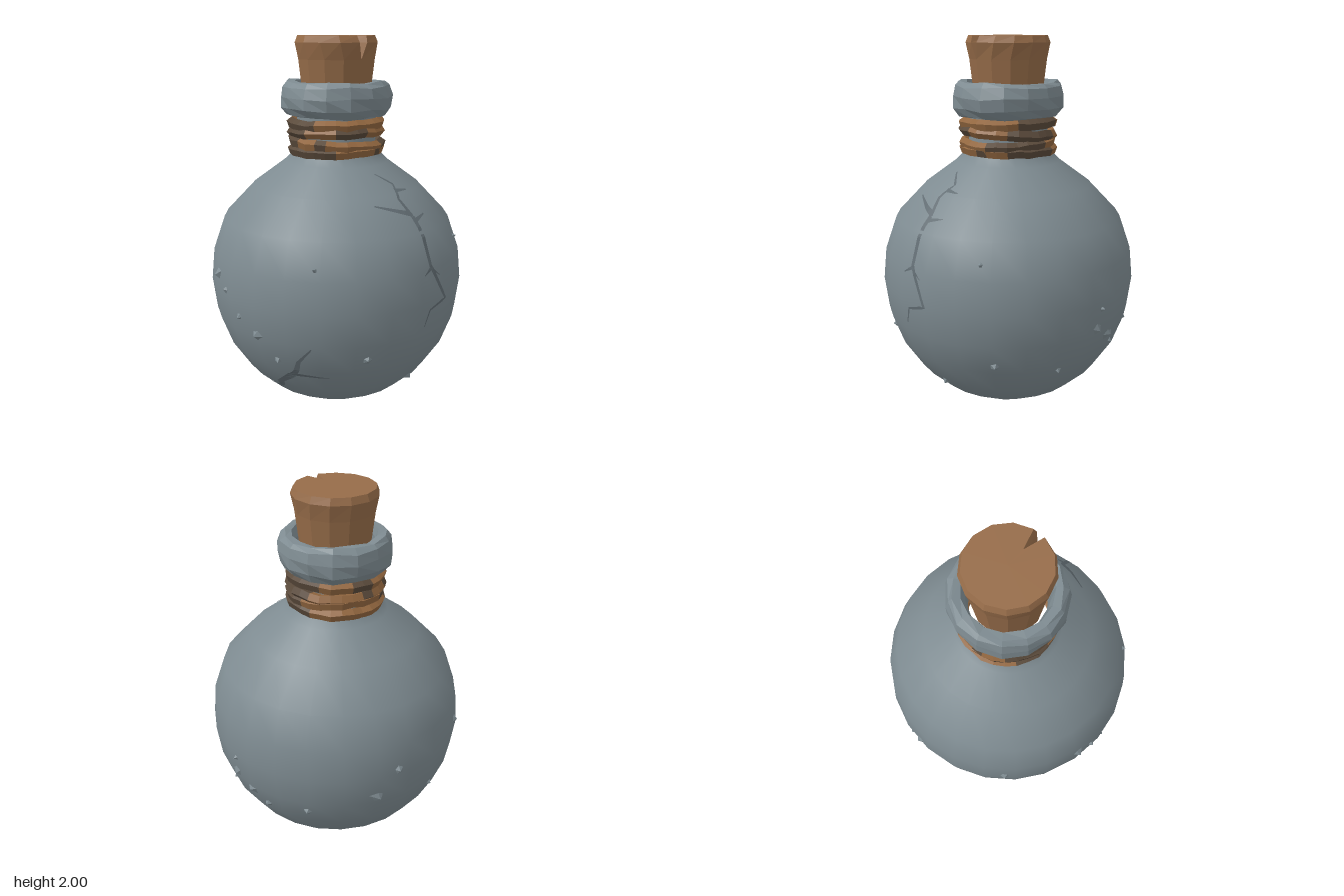
import * as THREE from 'three';

const V = (x, y, z) => new THREE.Vector3(x, y, z);

function seeded(seed) {
  return () => {
    seed = (seed * 16807) % 2147483647;
    return seed / 2147483647;
  };
}

// Faceted copy of a geometry: every triangle gets its own normal.
function faceted(geometry) {
  const g = geometry.index ? geometry.toNonIndexed() : geometry;
  g.computeVertexNormals();
  return g;
}

function lathe(points, sides) {
  return new THREE.LatheGeometry(points.map(([r, y]) => new THREE.Vector2(r, y)), sides);
}

// Cork: stacked rings with a V-shaped notch that opens toward the front.
function corkGeometry() {
  const rings = [ // radius, height, half angle of notch, depth position of notch
    [0.172, 1.6, 0, 0.172], [0.205, 1.88, 0, 0.205],
    [0.222, 1.965, 0.11, 0.15], [0.208, 2, 0.15, 0.1],
  ];
  const sides = 13, count = sides + 2, pos = [], index = [];
  for (const [r, y, gap, inner] of rings) {
    pos.push(0, y, inner);
    for (let i = 0; i <= sides; i++) {
      const a = gap + (i / sides) * (Math.PI * 2 - 2 * gap);
      pos.push(r * Math.sin(a), y, r * Math.cos(a));
    }
  }
  for (let k = 0; k < rings.length - 1; k++) {
    for (let i = 0; i < count; i++) {
      const a = k * count + i, b = k * count + (i + 1) % count;
      index.push(a, b, b + count, a, b + count, a + count);
    }
  }
  const top = (rings.length - 1) * count, center = pos.length / 3;
  pos.push(0, 2, 0);
  for (let i = 0; i < count; i++) index.push(top + i, top + (i + 1) % count, center);
  const g = new THREE.BufferGeometry();
  g.setAttribute('position', new THREE.Float32BufferAttribute(pos, 3));
  g.setIndex(index);
  return faceted(g);
}

// One lumpy coil of rope, with a light and a dark material group per segment.
function ropeGeometry(y, tilt, phase, rand) {
  const n = 28, sides = 5, pts = [];
  for (let i = 0; i < n; i++) {
    const a = (i / n) * Math.PI * 2, r = 0.226 + rand() * 0.012;
    pts.push(V(r * Math.sin(a), y + tilt * Math.sin(a + phase) + (rand() - 0.5) * 0.008, r * Math.cos(a)));
  }
  const curve = new THREE.CatmullRomCurve3(pts, true);
  const g = faceted(new THREE.TubeGeometry(curve, n, 0.031, sides, true));
  for (let i = 0; i < n; i++) {
    const c = Math.cos(((i + 0.5) / n) * Math.PI * 2 + phase * 0.1);
    const light = (c > 0.45 || c < -0.6) && rand() > 0.2;
    g.addGroup(i * sides * 6, sides * 6, light ? 0 : 1);
  }
  return g;
}

export function createModel() {
  const model = new THREE.Group();
  const rand = seeded(71);
  const material = (name, color, extra = {}) => {
    const m = new THREE.MeshStandardMaterial({ color, ...extra });
    m.name = name;
    return m;
  };
  const glass = material('greyGlass', 0x7e8b91);
  const crackGrey = material('crackGrey', 0x626d73, { side: THREE.DoubleSide });
  const corkBrown = material('corkBrown', 0x966c49);
  const ropeLight = material('ropeLight', 0x91663f);
  const ropeDark = material('ropeDark', 0x5a4a3b);
  const add = (name, geometry, mat, parent = model) => {
    const mesh = new THREE.Mesh(geometry, mat);
    mesh.name = name;
    parent.add(mesh);
    return mesh;
  };

  // Round body with its short neck
  const body = add('body', lathe([
    [0, 0.005], [0.1, 0.005], [0.25, 0.03], [0.39, 0.11], [0.51, 0.22], [0.61, 0.37], [0.67, 0.53],
    [0.692, 0.7], [0.675, 0.87], [0.612, 1.05], [0.45, 1.22], [0.28, 1.345], [0.225, 1.4], [0.212, 1.46], [0.212, 1.6],
  ], 24), glass);

  // Rough lip around the mouth
  const lip = lathe([
    [0.2, 1.58], [0.265, 1.59], [0.293, 1.63], [0.298, 1.69], [0.285, 1.745],
    [0.26, 1.768], [0.222, 1.765], [0.205, 1.72], [0.195, 1.6],
  ], 15);
  const p = lip.attributes.position;
  for (let i = 0; i < p.count; i++) {
    const a = Math.atan2(p.getX(i), p.getZ(i)), row = i % 9;
    const k = 1 + 0.016 * Math.sin(Math.cos(a) * 7 + Math.sin(a) * 5 + row * 2);
    p.setXYZ(i, p.getX(i) * k, p.getY(i) + 0.006 * Math.sin(Math.sin(a) * 6 + row), p.getZ(i) * k);
  }
  add('lip', faceted(lip), glass);

  add('cork', corkGeometry(), corkBrown);

  // Rope coils around the neck
  const rope = new THREE.Group();
  rope.name = 'rope';
  model.add(rope);
  [[1.55, 0.006, 0], [1.503, 0.014, 2], [1.452, 0.016, 4.6], [1.41, 0.006, 1]].forEach(([y, tilt, phase]) =>
    add('ropeCoil', ropeGeometry(y, tilt, phase, rand), [ropeLight, ropeDark], rope));

  // Finds the body surface, looking from a direction toward the axis
  const ray = new THREE.Raycaster();
  const hitBody = (origin, dir) => {
    ray.set(origin, dir);
    return ray.intersectObject(body)[0];
  };

  // Cracks: thin strips laid over the front of the body
  const cracks = new THREE.Group();
  cracks.name = 'cracks';
  model.add(cracks);
  const crack = (path, width) => {
    const pos = [], index = [], steps = (path.length - 1) * 5;
    const at = (t) => {
      const i = Math.min(Math.floor(t), path.length - 2), f = t - i;
      return V(path[i][0] + (path[i + 1][0] - path[i][0]) * f, path[i][1] + (path[i + 1][1] - path[i][1]) * f, 2);
    };
    for (let s = 0; s <= steps; s++) {
      const t = s / 5, c = at(t);
      const d = at(Math.min(t + 0.1, path.length - 1)).sub(at(Math.max(t - 0.1, 0))).normalize();
      const w = width * (1 - 0.75 * s / steps) / 2;
      for (const side of [-1, 1]) {
        const h = hitBody(V(c.x - d.y * w * side, c.y + d.x * w * side, 2), V(0, 0, -1));
        const q = h.point.addScaledVector(h.face.normal, 0.004);
        pos.push(q.x, q.y, q.z);
      }
      if (s) index.push(2 * s - 2, 2 * s, 2 * s - 1, 2 * s - 1, 2 * s, 2 * s + 1);
    }
    const g = new THREE.BufferGeometry();
    g.setAttribute('position', new THREE.Float32BufferAttribute(pos, 3));
    g.setIndex(index);
    add('crack', faceted(g), crackGrey, cracks);
  };
  crack([[0.06, 1.12], [0.03, 1.2], [0.06, 1.26], [-0.01, 1.31]], 0.022);
  crack([[0.06, 1.12], [0.075, 0.89], [0.18, 0.7], [0.06, 0.665], [0.03, 0.58]], 0.026);
  crack([[0.06, 1.13], [-0.13, 1.185]], 0.024);
  crack([[0.04, 1.235], [0.125, 1.23]], 0.016);
  crack([[0.06, 1.1], [0.15, 1.12]], 0.02);
  crack([[0.075, 0.88], [0.02, 0.85]], 0.018);
  crack([[0.075, 0.88], [0.14, 0.83]], 0.014);
  crack([[-0.51, 0.34], [-0.52, 0.43], [-0.5, 0.52]], 0.022);
  crack([[-0.51, 0.34], [-0.5, 0.25], [-0.46, 0.18]], 0.024);
  crack([[-0.51, 0.34], [-0.39, 0.335]], 0.02);

  // Chips: low, lopsided knobs on the body (angle from front, height, size)
  const chips = new THREE.Group();
  chips.name = 'chips';
  model.add(chips);
  [
    [-24, 0.43, 0.06], [46, 0.41, 0.055], [-75, 0.55, 0.06], [-68, 0.42, 0.05], [-85, 0.63, 0.04],
    [133, 0.45, 0.06], [94, 0.57, 0.075], [103, 0.48, 0.08], [112, 0.41, 0.055], [78, 0.36, 0.04],
    [96, 0.66, 0.035], [-47, 0.92, 0.03], [40, 0.95, 0.03], [-140, 0.75, 0.06], [175, 0.72, 0.06],
    [-105, 0.8, 0.06], [-95, 0.72, 0.045], [165, 0.58, 0.07], [-160, 0.45, 0.04], [10, 0.22, 0.05],
  ].forEach(([deg, y, size]) => {
    const a = THREE.MathUtils.degToRad(deg), out = V(Math.sin(a), 0, Math.cos(a));
    const h = hitBody(V(out.x * 2, y, out.z * 2), out.clone().negate());
    const g = new THREE.ConeGeometry(size, 0.045, 5, 1, true);
    const q = g.attributes.position, dx = (rand() - 0.5) * size, dz = (rand() - 0.5) * size;
    for (let i = 0; i < q.count; i++) {
      if (q.getY(i) > 0) q.setXYZ(i, dx, 0.0225, dz);
    }
    const chip = add('chip', faceted(g), glass, chips);
    chip.position.copy(h.point).addScaledVector(h.face.normal, -0.004);
    chip.quaternion.setFromUnitVectors(V(0, 1, 0), h.face.normal);
  });

  return model;
}
